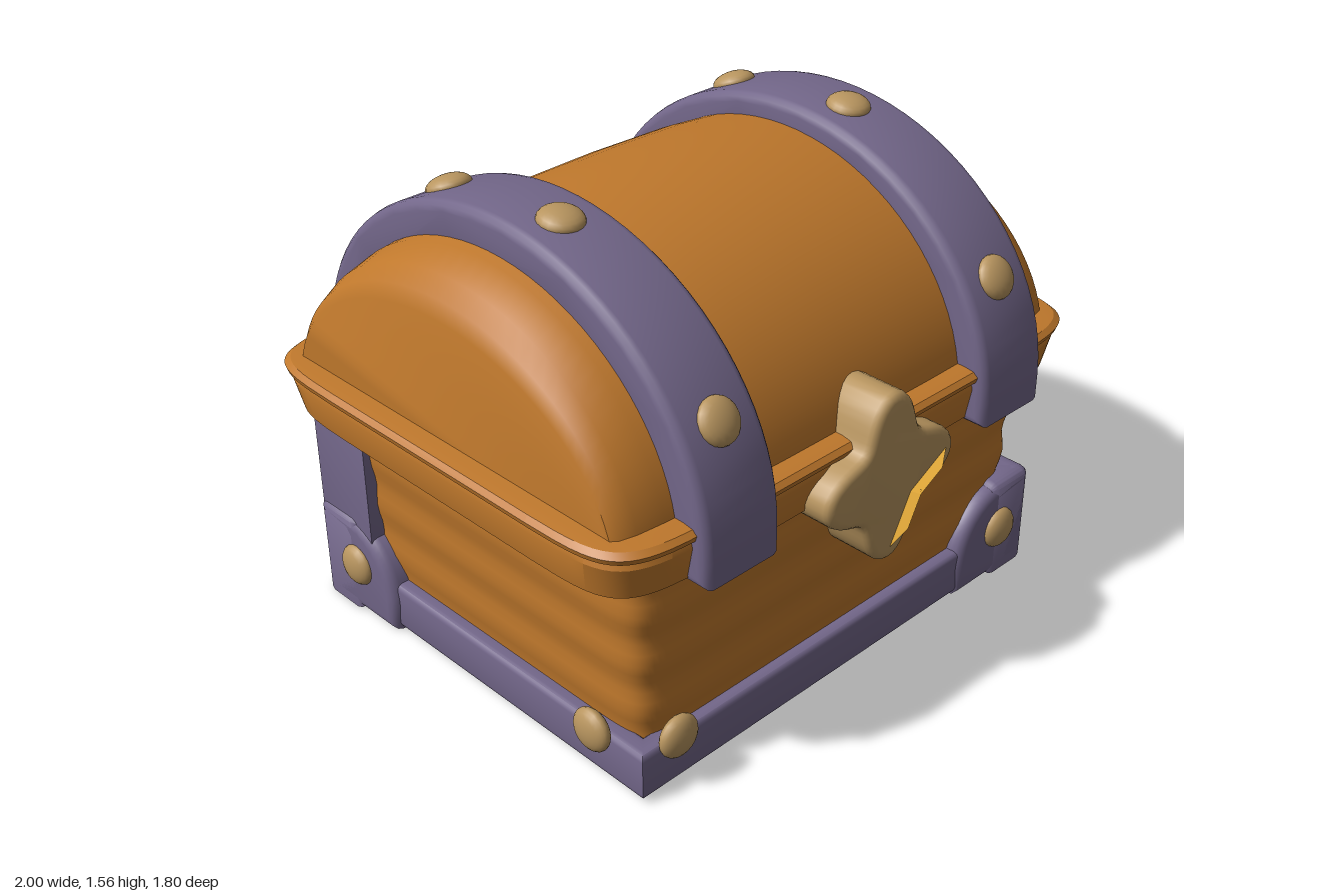
import * as THREE from 'three';
import { toCreasedNormals } from 'three/addons/utils/BufferGeometryUtils.js';

const material = (name, color) => {
  const m = new THREE.MeshStandardMaterial({ color });
  m.name = name;
  return m;
};

// Skin a stack of closed rings (arrays of Vector3) and cap both ends.
function loft(rings, crease = 0.7) {
  const n = rings[0].length, pos = [], idx = [];
  rings.forEach(r => r.forEach(p => pos.push(p.x, p.y, p.z)));
  for (let i = 0; i < rings.length - 1; i++)
    for (let j = 0; j < n; j++) {
      const k = (j + 1) % n, a = i * n + j, b = i * n + k;
      idx.push(a, a + n, b + n, a, b + n, b);
    }
  const top = (rings.length - 1) * n;
  for (let j = 1; j < n - 1; j++) {
    idx.push(0, j, j + 1);
    idx.push(top, top + j + 1, top + j);
  }
  const g = new THREE.BufferGeometry();
  g.setAttribute('position', new THREE.Float32BufferAttribute(pos, 3));
  g.setIndex(idx);
  return toCreasedNormals(g, crease);
}

// Horizontal ring: softly bulging rounded rectangle.
function softRect(y, hx, hz, cz, e) {
  const pow = v => Math.sign(v) * Math.abs(v) ** e;
  return Array.from({ length: 64 }, (_, i) => {
    const t = (i + 0.5) / 64 * Math.PI * 2;
    return new THREE.Vector3(hx * pow(Math.cos(t)), y, cz + hz * pow(Math.sin(t)));
  });
}

// Bevelled extrusion that keeps the drawn outline, centred on its depth.
function slab(shape, depth, bevel) {
  const g = new THREE.ExtrudeGeometry(shape, {
    depth: depth - 2 * bevel, bevelThickness: bevel, bevelSize: bevel,
    bevelOffset: -bevel, bevelSegments: 3, curveSegments: 16,
  });
  g.translate(0, 0, bevel - depth / 2);
  return toCreasedNormals(g, 0.7);
}

export function createModel() {
  const wood = material('wood', 0xbf782c);
  const iron = material('purple iron', 0x73678a);
  const brass = material('dull brass', 0xb8955f);
  const gold = material('gold', 0xdfa638);
  const model = new THREE.Group();
  model.name = 'treasureChest';

  const add = (name, geo, mat, x = 0, y = 0, z = 0, parent = model) => {
    const m = new THREE.Mesh(geo, mat);
    m.name = name;
    m.position.set(x, y, z);
    parent.add(m);
    return m;
  };

  // Tapered body with a gently uneven carved surface
  const bodyRings = [];
  for (let i = 0; i <= 20; i++) {
    const t = i / 20, y = 0.04 + t * 0.7, w = 0.005 * Math.sin(i * 1.3);
    bodyRings.push(softRect(y, 0.81 + 0.045 * t + w, 0.69 + 0.02 * t + w, -0.06, 0.12));
  }
  add('body', loft(bodyRings), wood);

  // Lid rim with a small upper lip
  const rimProfile = [[0.72, 0.945], [0.735, 0.965], [0.84, 0.985], [0.858, 0.98],
    [0.868, 0.995], [0.885, 1.0], [0.9, 0.985], [0.905, 0.95]];
  add('lidRim', loft(rimProfile.map(([y, h]) => softRect(y, h, h - 0.19, -0.06, 0.2)), 0.5), wood);

  // Domed lid: [x, height scale, depth scale]
  const half = [[0, 1, 1], [0.3, 0.99, 1], [0.6, 0.95, 0.995], [0.76, 0.915, 0.985],
    [0.85, 0.86, 0.975], [0.9, 0.795, 0.96], [0.92, 0.72, 0.94]];
  const stations = [...half.slice(1).reverse().map(([x, a, b]) => [-x, a, b]), ...half];
  add('lidDome', loft(stations.map(([x, sy, sz]) =>
    Array.from({ length: 41 }, (_, i) => {
      const t = i / 40 * Math.PI;
      return new THREE.Vector3(x, 0.8 + 0.68 * sy * Math.sin(t), -0.06 + 0.745 * sz * Math.cos(t));
    }))), wood);

  // Iron straps arching over the lid
  const strapShape = new THREE.Shape();
  strapShape.moveTo(0.78, 0.715);
  for (let i = 0; i <= 40; i++) {
    const t = i / 40 * Math.PI;
    strapShape.lineTo(-0.06 + 0.84 * Math.cos(t), 0.8 + 0.73 * Math.sin(t));
  }
  strapShape.lineTo(-0.9, 0.715);
  strapShape.lineTo(-0.74, 0.715);
  for (let i = 40; i >= 0; i--) {
    const t = i / 40 * Math.PI;
    strapShape.lineTo(-0.06 + 0.68 * Math.cos(t), 0.8 + 0.58 * Math.sin(t));
  }
  strapShape.lineTo(0.62, 0.715);
  const strapGeo = slab(strapShape, 0.29, 0.03);

  // Rivets: flattened domes pointing along a normal
  const rivetGeo = new THREE.SphereGeometry(0.07, 20, 12);
  const up = new THREE.Vector3(0, 1, 0);
  const rivet = (name, x, y, z, nx, ny, nz) => {
    const m = add(name, rivetGeo, brass, x, y, z);
    m.scale.y = 0.5;
    m.quaternion.setFromUnitVectors(up, new THREE.Vector3(nx, ny, nz).normalize());
  };

  for (const x of [-0.58, 0.59]) {
    add('lidStrap', strapGeo, iron, x).rotation.y = -Math.PI / 2;
    for (const z of [0.68, 0.08, -0.41]) {
      const c = (z + 0.06) / 0.84, s = Math.sqrt(1 - c * c);
      rivet('strapRivet', x, 0.8 + 0.73 * s, z, 0, s / 0.73, c / 0.84);
    }
  }

  // Base frame, an open iron ring around the foot
  const rect = (Cls, hx, z0, z1) => new Cls([[-hx, z0], [hx, z0], [hx, z1], [-hx, z1]]
    .map(p => new THREE.Vector2(...p)));
  const frame = rect(THREE.Shape, 0.86, -0.67, 0.79);
  frame.holes.push(rect(THREE.Path, 0.79, -0.6, 0.72));
  add('baseFrame', slab(frame, 0.16, 0.02), iron, 0, 0.09, 0).rotation.x = -Math.PI / 2;
  add('bottomPanel', new THREE.BoxGeometry(1.64, 0.02, 1.38), brass, 0, 0.03, -0.06);

  // Back corner posts
  const postShape = rect(THREE.Shape, 0.115, -0.125, 0.125);
  for (const s of [-1, 1])
    add('backPost', slab(postShape, 0.6, 0.015), iron, s * 0.76, 0.43, -0.67).rotation.x = -Math.PI / 2;

  // Corner brackets: two rounded plates and a foot
  const plate = dir => {
    const s = new THREE.Shape();
    s.moveTo(0, 0);
    s.lineTo(0, 0.33);
    s.quadraticCurveTo(dir * 0.01, 0.35, dir * 0.05, 0.35);
    s.lineTo(dir * 0.14, 0.345);
    s.bezierCurveTo(dir * 0.27, 0.335, dir * 0.36, 0.25, dir * 0.37, 0.1);
    s.lineTo(dir * 0.36, 0);
    return slab(s, 0.2, 0.035);
  };
  const hasBracket = (sx, sz) => !(sx < 0 && sz > 0);
  for (const sx of [-1, 1]) for (const sz of [-1, 1]) {
    const cx = sx * 0.885, cz = sz > 0 ? 0.68 : -0.81;
    if (hasBracket(sx, sz)) {
      const bracket = new THREE.Group();
      bracket.name = 'cornerBracket';
      model.add(bracket);
      add('bracketFace', plate(-sx), iron, cx, 0, cz - sz * 0.1, bracket);
      add('bracketSide', plate(-sz), iron, cx - sx * 0.1, 0, cz, bracket).rotation.y = -Math.PI / 2;
      add('bracketFoot', new THREE.BoxGeometry(0.3, 0.03, 0.3), iron, cx - sx * 0.18, 0.017, cz - sz * 0.18, bracket);
    }
    rivet('bracketRivet', sx * 0.73, 0.18, cz, 0, 0, sz);
    rivet('bracketRivet', cx, 0.18, cz - sz * 0.19, sx, 0, 0);
  }

  // Lock plate with four rounded lobes
  const lockPoints = Array.from({ length: 72 }, (_, i) => {
    const t = i / 72 * Math.PI * 2, r = 0.168 + 0.107 * Math.cos(2 * t) ** 2;
    return new THREE.Vector2(r * Math.cos(t), r * 1.02 * Math.sin(t));
  });
  add('lockPlate', slab(new THREE.Shape(lockPoints), 0.22, 0.025), brass, 0, 0.76, 0.7);

  // Faceted four-pointed star on the lock
  const starRing = (k, z) => Array.from({ length: 8 }, (_, i) => {
    const t = i * Math.PI / 4, r = (i % 2 ? 0.115 : 0.235) * k;
    return new THREE.Vector3(r * Math.cos(t), r * Math.sin(t) * 1.02, z);
  });
  const star = loft([starRing(1, 0.79), starRing(1, 0.81), starRing(0.6, 0.872), starRing(0.03, 0.905)], 0.3);
  add('lockStar', star, gold, 0, 0.765, 0);

  return model;
}
